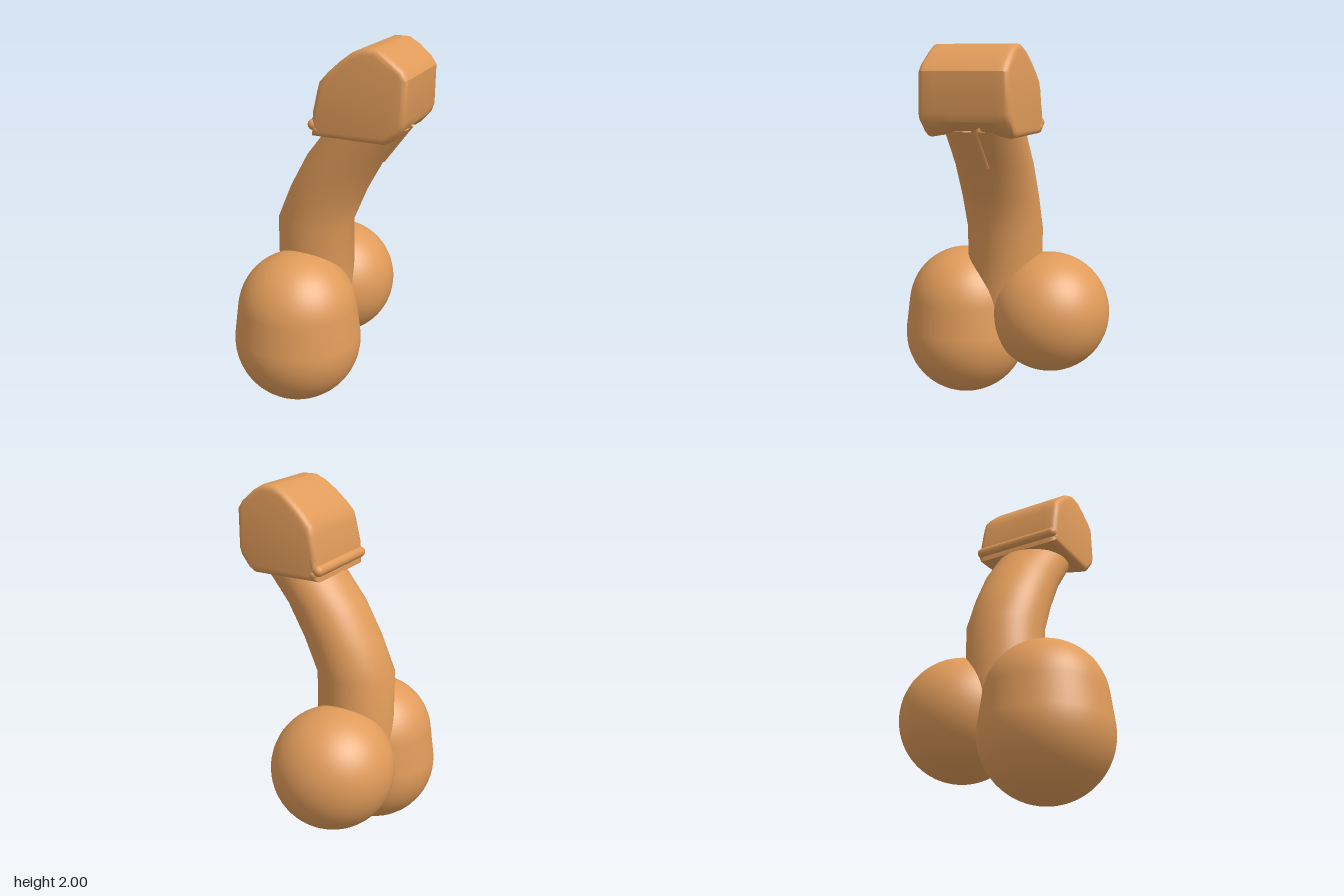
import * as THREE from 'three';
import { toCreasedNormals } from 'three/addons/utils/BufferGeometryUtils.js';

const material = new THREE.MeshStandardMaterial({ color: 0xe09b5a });

function addPart(group, name, geometry, x = 0, y = 0, z = 0) {
  const mesh = new THREE.Mesh(geometry, material);
  mesh.name = name;
  mesh.position.set(x, y, z);
  group.add(mesh);
  return mesh;
}

// Moves every vertex by a rule, then rebuilds the normals
function reshape(geometry, rule, crease) {
  const p = geometry.attributes.position;
  const v = new THREE.Vector3();
  for (let i = 0; i < p.count; i++) {
    v.fromBufferAttribute(p, i);
    rule(v);
    p.setXYZ(i, v.x, v.y, v.z);
  }
  return toCreasedNormals(geometry, crease);
}

// Two stacked spheres of different radius joined by a cone
function makeTallBulb() {
  const points = [];
  const arc = (cy, r, from, to) => {
    for (let i = 0; i <= 14; i++) {
      const a = from + (to - from) * i / 14;
      points.push(new THREE.Vector2(Math.max(0, r * Math.cos(a)), cy + r * Math.sin(a)));
    }
  };
  arc(0.352, 0.352, -Math.PI / 2, 0.12);
  arc(0.525, 0.33, 0.12, Math.PI / 2);
  return new THREE.LatheGeometry(points, 48);
}

// Column of level rings whose centres drift sideways
function makeColumn() {
  const rings = [[-0.13, 0.5], [-0.13, 0.99], [-0.05, 1.18], [0.05, 1.365], [0.2, 1.56]];
  const n = rings.length - 1;
  return reshape(new THREE.CylinderGeometry(0.212, 0.212, n, 48, n), (v) => {
    const [x, y] = rings[Math.round(v.y + n / 2)];
    v.x += x;
    v.y = y;
  }, 0.7);
}

// Bevelled cap: an outline run front to back, tapered and arched below
function makeCap() {
  const outline = [
    [0.0, 1.56], [0.36, 1.56], [0.385, 1.575], [0.435, 1.63], [0.445, 1.66],
    [0.45, 1.855], [0.43, 1.885], [0.36, 1.94], [0.31, 1.968], [0.25, 1.968], [0.2, 1.945],
    [0.14, 1.9], [0.08, 1.845], [0.04, 1.8], [0.03, 1.76], [0.005, 1.65],
  ].map(([x, y]) => new THREE.Vector2(x, y));
  const geometry = new THREE.ExtrudeGeometry(new THREE.Shape(outline), {
    depth: 0.44, steps: 10, bevelSize: 0.03, bevelThickness: 0.035, bevelSegments: 4,
  });
  geometry.translate(0, 0, -0.22);
  return reshape(geometry, (v) => {
    const t = v.z / 0.255;
    const arch = Math.max(0, 1 - (v.z / 0.2) ** 2);
    if (v.y < 1.6 && v.x > 0.3) v.y += 0.035 * arch;
    if (v.x > 0.4) v.x += 0.008 * t;
    // Ends lean in towards the top and towards the outer side
    const lean = 1 - 0.07 * THREE.MathUtils.clamp((v.y - 1.75) / 0.25, 0, 1);
    v.z *= lean * (t < 0 ? 1 - 0.2 * Math.max(0, v.x - 0.05) : 1);
    v.z += 0.012;
  }, 0.55);
}

export function createModel() {
  const group = new THREE.Group();
  group.name = 'curvedColumnOnBulbs';

  // Base bulbs
  addPart(group, 'frontBulb', makeTallBulb(), -0.13, 0, 0.246);
  addPart(group, 'backBulb', new THREE.SphereGeometry(0.337, 48, 32), -0.13, 0.518, -0.26);

  // Column and cap
  addPart(group, 'column', makeColumn(), 0, 0, 0.005);
  addPart(group, 'cap', makeCap());

  // Rolled lip along the lower edge of the cap
  const lip = addPart(group, 'capLip', new THREE.CapsuleGeometry(0.03, 0.46, 6, 12), -0.023, 1.59, 0.01);
  lip.rotation.x = Math.PI / 2;

  // Small folds where the lip meets the end faces
  for (const z of [-0.225, 0.245]) {
    const fold = addPart(group, 'lipFold', new THREE.CapsuleGeometry(0.02, 0.06, 4, 10), 0.0, 1.62, z);
    fold.rotation.z = -0.2;
    addPart(group, 'lipKnob', new THREE.SphereGeometry(0.025, 12, 8), 0.0, 1.57, z);
  }

  // Narrow ridge running up the column to the arch under the cap
  const ridgePath = new THREE.LineCurve3(
    new THREE.Vector3(0.245, 1.37, -0.02), new THREE.Vector3(0.405, 1.585, -0.015));
  addPart(group, 'ridge', new THREE.TubeGeometry(ridgePath, 1, 0.024, 12));

  return group;
}
